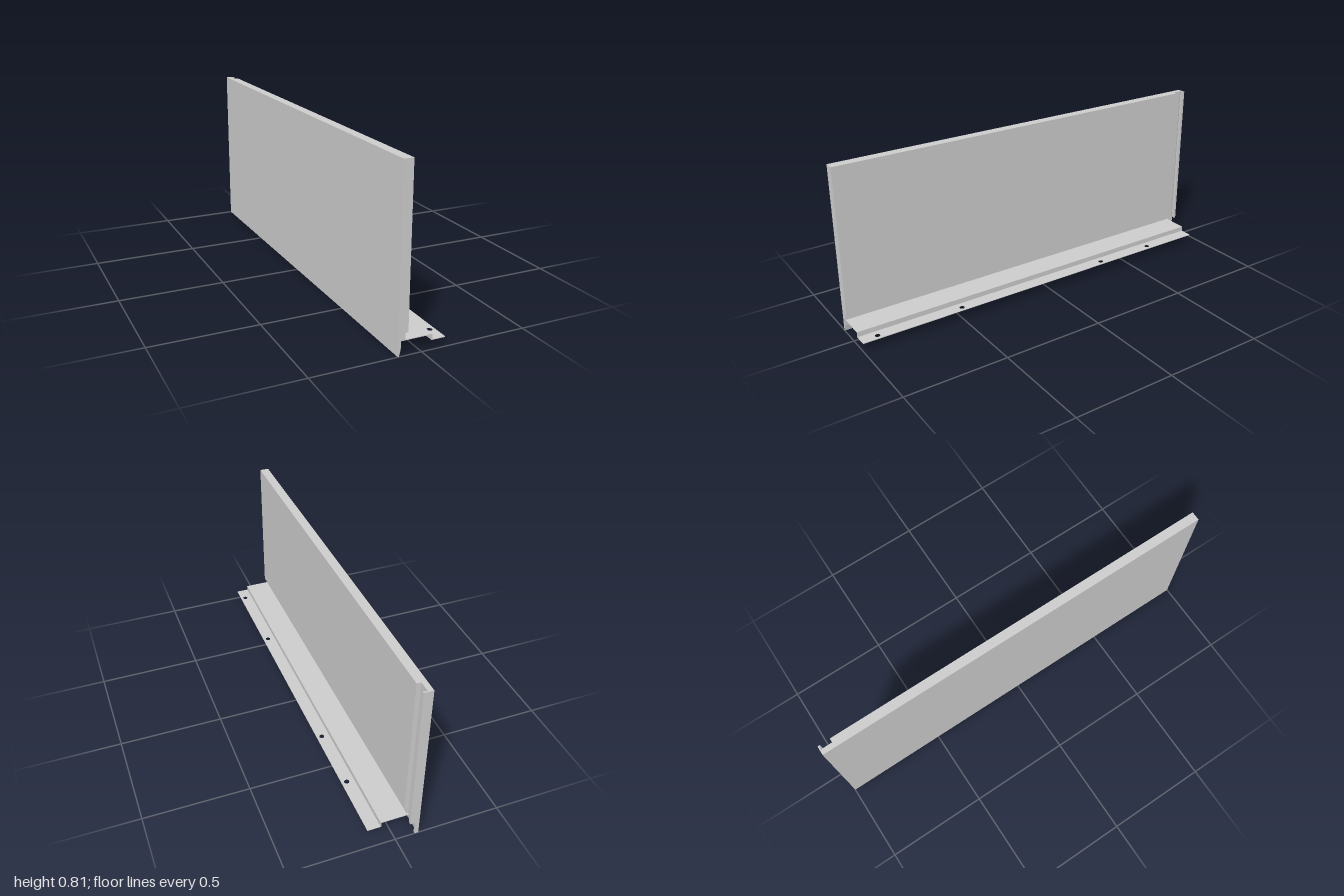
import * as THREE from 'three';

const material = new THREE.MeshStandardMaterial({ color: 0xcccccc, flatShading: true });

function toShape(points) {
  return new THREE.Shape(points.map(([x, y]) => new THREE.Vector2(x, y)));
}

// Extrudes an x-y section along z, from z0 to z1
function alongZ(name, points, z0, z1) {
  const geometry = new THREE.ExtrudeGeometry(toShape(points), { depth: z1 - z0, bevelEnabled: false });
  geometry.translate(0, 0, z0);
  const mesh = new THREE.Mesh(geometry, material);
  mesh.name = name;
  return mesh;
}

// Extrudes an x-z plan upward, from y0 to y1, with optional round holes
function alongY(name, plan, y0, y1, holes = [], radius = 0.012) {
  const shape = toShape(plan.map(([x, z]) => [x, -z]));
  for (const [x, z] of holes) {
    const hole = new THREE.Path();
    hole.absarc(x, -z, radius, 0, Math.PI * 2, true);
    shape.holes.push(hole);
  }
  const geometry = new THREE.ExtrudeGeometry(shape, { depth: y1 - y0, bevelEnabled: false, curveSegments: 16 });
  geometry.rotateX(-Math.PI / 2);
  geometry.translate(0, y0, 0);
  const mesh = new THREE.Mesh(geometry, material);
  mesh.name = name;
  return mesh;
}

export function createModel() {
  const group = new THREE.Group();
  group.name = 'foldedPanel';
  const t = 0.003; // sheet thickness
  const back = -0.11, inner = -0.065, flangeEnd = -0.948;

  // Main panel with a stepped lower edge
  group.add(alongZ('panel', [
    [back, 0.07], [-0.078, 0.07], [-0.078, 0.1], [inner, 0.1], [inner, 0.815], [back, 0.815],
  ], -0.94, 1));

  // Narrow neck and turned-in lip at the rear end
  group.add(alongY('rearLip', [
    [back, -1], [-0.066, -1], [-0.066, -0.988], [-0.07, -0.988], [-0.07, -0.993],
    [-0.088, -0.993], [-0.085, -0.985], [-0.085, -0.94], [back, -0.94],
  ], 0.07, 0.815));

  // Tapered drip edge under the panel
  group.add(alongZ('dripEdge', [
    [back, 0], [-0.105, 0], [-0.098, 0.03], [-0.097, 0.07], [back, 0.07],
  ], -0.99, 1));
  group.add(alongZ('dripEdgeEnd', [
    [back, 0], [-0.092, 0], [-0.092, 0.07], [back, 0.07],
  ], -1, -0.99));

  // Horizontal shelf with its downward step
  group.add(alongZ('shelf', [
    [-0.097, 0.07 - t], [0.048 - t, 0.07 - t], [0.048 - t, 0.042], [0.048, 0.042],
    [0.048, 0.07], [-0.097, 0.07],
  ], flangeEnd, 1));

  // Mounting flange with screw holes
  const holes = [-0.655, -0.34, 0.49, 0.92].map((z) => [0.085, z]);
  group.add(alongY('mountingFlange', [
    [0.048 - t, flangeEnd], [0.11, flangeEnd], [0.11, 1], [0.048 - t, 1],
  ], 0.042, 0.042 + t, holes));

  return group;
}
